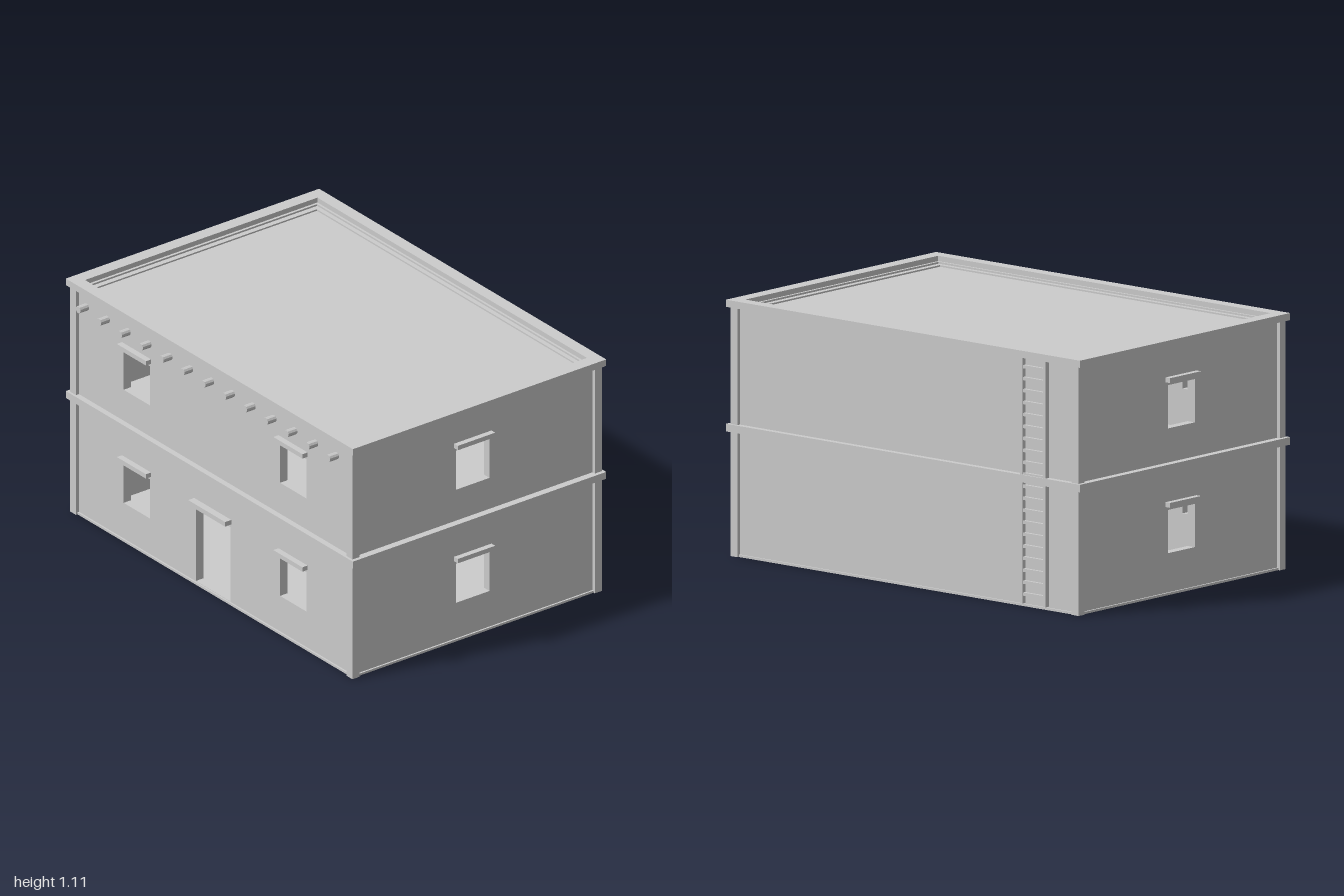
import * as THREE from 'three';

const mat = new THREE.MeshStandardMaterial({ color: 0xcccccc, flatShading: true });
const ZC = -0.0075; // centre of the house body in z

function add(parent, name, geometry) {
  const mesh = new THREE.Mesh(geometry, mat);
  mesh.name = name;
  parent.add(mesh);
  return mesh;
}

// Box given by its extents on each axis
function box(parent, name, [x0, x1], [y0, y1], [z0, z1]) {
  const mesh = add(parent, name, new THREE.BoxGeometry(x1 - x0, y1 - y0, z1 - z0));
  mesh.position.set((x0 + x1) / 2, (y0 + y1) / 2, (z0 + z1) / 2);
  return mesh;
}

function rect(target, [x0, x1], [y0, y1]) {
  target.moveTo(x0, y0);
  target.lineTo(x1, y0);
  target.lineTo(x1, y1);
  target.lineTo(x0, y1);
  target.closePath();
  return target;
}

// Rectangular panel extruded along z, with rectangular openings
function panel(xs, ys, depth, openings) {
  const shape = rect(new THREE.Shape(), xs, ys);
  for (const [hx, hy] of openings) shape.holes.push(rect(new THREE.Path(), hx, hy));
  return new THREE.ExtrudeGeometry(shape, { depth, bevelEnabled: false });
}

// Horizontal ring running around the house
function band(parent, name, y0, y1, innerX, innerZ) {
  const ring = panel([-1, 1], [-0.6815, 0.6815], y1 - y0, [[[-innerX, innerX], [-innerZ, innerZ]]]);
  ring.rotateX(-Math.PI / 2);
  add(parent, name, ring).position.set(0, y0, ZC);
}

export function createModel() {
  const house = new THREE.Group();
  house.name = 'house';

  const T = 0.04; // wall thickness
  const WX = 0.967, ZF = 0.647, ZB = -0.662; // outer wall faces
  const wallY = [0, 1.09];
  const storeys = [[0.18, 0.368], [0.722, 0.91]]; // window heights
  const frontWindows = [[-0.632, -0.449], [0.458, 0.641]];
  const door = [[-0.128, 0.112], [0.012, 0.368]];

  // Front wall with four windows and a door, and the plain back wall
  const openings = [door];
  for (const wy of storeys) for (const wx of frontWindows) openings.push([wx, wy]);
  add(house, 'frontWall', panel([-WX, WX], wallY, T, openings)).position.z = ZF - T;
  box(house, 'backWall', [-WX, WX], wallY, [ZB, ZB + T]);

  // Side walls, one window per storey
  for (const s of [1, -1]) {
    const win = [s > 0 ? 0.087 : 0.081, -0.093];
    const wall = panel([-ZF + T, -ZB - T], wallY, T, storeys.map((wy) => [[win[1], win[0]], wy]));
    wall.rotateY(Math.PI / 2); // panel x becomes -z
    add(house, s > 0 ? 'leftWall' : 'rightWall', wall).position.x = s > 0 ? WX - T : -WX;
  }

  // Floors and roof
  box(house, 'groundFloor', [-0.975, 0.975], [0, 0.01], [-0.67, 0.655]);
  box(house, 'upperFloor', [-0.95, 0.95], [0.535, 0.555], [-0.645, 0.63]);
  box(house, 'roof', [-0.95, 0.95], [1.05, 1.075], [-0.645, 0.63]);

  // Bands at the storey line and around the roof edge
  band(house, 'storeyBand', 0.541, 0.574, 0.94, 0.63);
  band(house, 'roofParapet', 1.05, 1.082, 0.94, 0.625);
  house.children[house.children.length - 1].scale.set(0.96, 1, 0.95);
  band(house, 'roofCap', 1.082, 1.113, 0.939, 0.625);

  // Corner posts
  for (const s of [1, -1]) {
    const xs = s > 0 ? [0.943, 0.983] : [-0.983, -0.943];
    box(house, 'frontCornerPost', xs, [0, 1.085], [0.626, 0.663]);
    box(house, 'backCornerPost', xs, [0, 1.085], [-0.678, -0.641]);
  }

  // Lintels over every window and the door
  for (const [, top] of storeys) {
    const ys = [top + 0.015, top + 0.036];
    for (const [x0, x1] of frontWindows) {
      box(house, 'windowLintel', [x0 - 0.011, x1 + 0.009], ys, [ZF - 0.02, 0.675]);
    }
    for (const s of [1, -1]) {
      box(house, 'sideLintel', s > 0 ? [WX - 0.02, 0.993] : [-0.993, 0.02 - WX], ys, [-0.097, 0.104]);
    }
  }
  box(house, 'doorLintel', [-0.14, 0.118], [0.383, 0.405], [ZF - 0.02, 0.68]);

  // Row of projecting roof beams
  const beam = new THREE.CylinderGeometry(0.016, 0.016, 0.07, 10);
  beam.rotateX(Math.PI / 2);
  for (let i = 0; i < 13; i++) {
    add(house, 'beamEnd', beam).position.set(-0.888 + i * 0.1451, 1.015, 0.659);
  }

  // Ladder on the back wall
  const ladder = new THREE.Group();
  ladder.name = 'ladder';
  for (const x of [-0.795, -0.665]) {
    box(ladder, 'ladderRail', [x - 0.008, x + 0.008], [0.015, 1.085], [-0.685, -0.665]);
  }
  for (let i = 0; i < 20; i++) {
    const y = 0.055 + i * 0.052;
    box(ladder, 'ladderRung', [-0.795, -0.665], [y - 0.007, y + 0.007], [-0.682, -0.668]);
  }
  house.add(ladder);

  return house;
}
